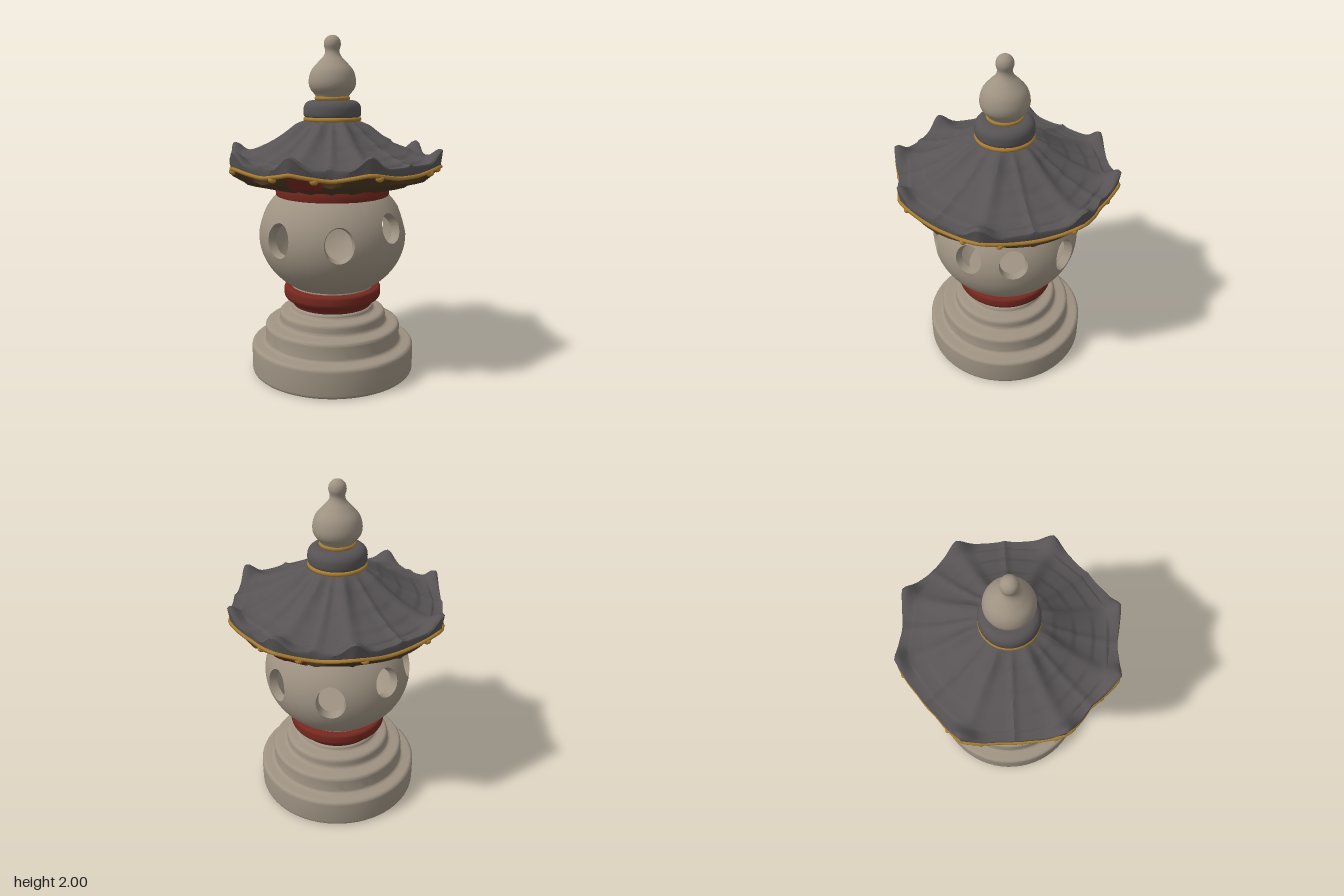
import * as THREE from 'three';
import { mergeGeometries, toCreasedNormals } from 'three/addons/utils/BufferGeometryUtils.js';

const mat = (name, color) => Object.assign(new THREE.MeshStandardMaterial({ color }), { name });
const stone = mat('stone', 0x9e9282);
const tile = mat('roofTile', 0x575354);
const red = mat('redPaint', 0x75281f);
const gold = mat('goldTrim', 0xa87c30);
const wood = mat('darkWood', 0x4c3822);

const TAU = Math.PI * 2;
const deg = THREE.MathUtils.degToRad;
const bell = (x, w) => Math.exp(-((x / w) ** 2));

// Surface from a grid of points, closed around u
function ringGrid(nu, nv, point) {
  const pos = [], index = [];
  for (let i = 0; i < nu; i++) {
    for (let j = 0; j <= nv; j++) pos.push(...point(i / nu, j));
    for (let j = 0; j < nv; j++) {
      const a = i * (nv + 1) + j, c = ((i + 1) % nu) * (nv + 1) + j;
      index.push(a, a + 1, c, c, a + 1, c + 1);
    }
  }
  const g = new THREE.BufferGeometry();
  g.setAttribute('position', new THREE.Float32BufferAttribute(pos, 3));
  g.setIndex(index);
  g.computeVertexNormals();
  return g;
}

// Turned profile with every corner softened by up to the given radius
function turned(corners, soft) {
  const p = corners.map(([r, y]) => new THREE.Vector2(r, y));
  const out = [p[0]];
  for (let i = 1; i < p.length - 1; i++) {
    const toward = (q) => {
      const d = p[i].distanceTo(q);
      return p[i].clone().lerp(q, Math.min(soft, d * 0.48) / d);
    };
    out.push(...new THREE.QuadraticBezierCurve(toward(p[i - 1]), p[i], toward(p[i + 1])).getPoints(5));
  }
  out.push(p[p.length - 1]);
  return toCreasedNormals(new THREE.LatheGeometry(out, 64), 0.6);
}

// Roof corners and how strongly each eave point belongs to one
const cornerAngles = [0, 38, 90, 142, 180, 218, 270, 322].map(deg);
const midAngles = [19, 64, 116, 161, 199, 244, 296, 341].map(deg);
const nearest = (a, list) => Math.min(...list.map((c) => {
  const d = Math.abs(a - c) % TAU;
  return Math.min(d, TAU - d);
}));
const flare = (a) => Math.max(0, 1 - nearest(a, cornerAngles) / 0.33) ** 1.2;
const tipSize = (a) => 0.042 + 0.013 * Math.cos(2 * a) ** 2;
const edgeRadius = (a) => 0.6 + tipSize(a) * flare(a);
const edgeBottom = (a) => 1.238 + 0.035 * flare(a);
const polar = (a, r, y) => [r * Math.sin(a), y, r * Math.cos(a)];

const roofLine = new THREE.SplineCurve([[0.15, 1.515], [0.25, 1.44], [0.36, 1.37], [0.47, 1.32], [0.55, 1.295], [0.6, 1.285]]
  .map(([x, y]) => new THREE.Vector2(x, y)));

const ROWS = 40;
function roofPoint(u, j) {
  const a = u * TAU;
  if (j > ROWS) return polar(a, edgeRadius(a) - 0.012, edgeBottom(a));
  const t = j / ROWS, p = roofLine.getPoint(t);
  const d = nearest(a, cornerAngles), m = nearest(a, midAngles);
  const r = p.x + (edgeRadius(a) - 0.6) * t ** 4;
  const ridge = bell(d * p.x, 0.032 + 0.02 * t) * (0.042 - 0.03 * t) * Math.min(1, t * 6);
  const tip = 0.07 * bell(d * p.x, 0.065) * bell(t - 0.96, 0.14);
  const rib = 0.014 * bell(m * p.x, 0.018) * Math.min(1, t * 6);
  const course = 0.01 * ((t * 5) % 1) * Math.min(1, t * 5) * (1 - bell(d * p.x, 0.05));
  return polar(a, r, p.y + ridge + tip + rib + course);
}

// Boarded underside with radial ribs
const soffitRadius = [null, 0.59, 0.55, 0.5, 0.45, 0.4, 0.32];
const soffitHeight = [null, 1.208, 1.187, 1.172, 1.16, 1.148, 1.13];
function soffitPoint(u, j) {
  const a = u * TAU;
  if (j === 0) return polar(a, edgeRadius(a) - 0.012, edgeBottom(a));
  const r = soffitRadius[j], d = Math.min(nearest(a, cornerAngles), nearest(a, midAngles));
  return polar(a, r, soffitHeight[j] - 0.009 * bell(d * r, 0.014) + (j < 2 ? 0.012 * flare(a) : 0));
}

// One wall sector of the hollow globe with a round window through it
const globe = (az, phi, inset) => polar(az, (0.437 - inset) * Math.cos(phi), 0.84 + (0.37 - inset) * Math.sin(phi));
function windowSector(k, centre, front) {
  const lo = [k * Math.PI / 4, -0.98], hi = [(k + 1) * Math.PI / 4, 0.75];
  const c = [deg(centre), front ? 0.06 : 0.235];
  const rad = front ? [0.195, 0.275] : [0.195, 0.235];
  const N = 10;
  return ringGrid(64, 2 * N + 3, (u, j) => {
    // clockwise around the sector border
    const side = Math.floor(u * 4), f = u * 4 - side;
    const [x, y] = [[0, f], [f, 1], [1, 1 - f], [1 - f, 0]][side];
    const b = [THREE.MathUtils.lerp(lo[0], hi[0], x), THREE.MathUtils.lerp(lo[1], hi[1], y)];
    const ang = Math.atan2((b[1] - c[1]) / rad[1], (b[0] - c[0]) / rad[0]);
    const h = [c[0] + rad[0] * Math.cos(ang), c[1] + rad[1] * Math.sin(ang)];
    const s = j <= N ? j / N : j >= N + 3 ? (2 * N + 3 - j) / N : 1;
    const inset = j <= N ? 0 : j >= N + 3 ? 0.05 : (j - N) * 0.05 / 3;
    return globe(b[0] + (h[0] - b[0]) * s, b[1] + (h[1] - b[1]) * s, inset);
  });
}

export function createModel() {
  const model = new THREE.Group();
  const add = (name, geometry, material, parent = model) => {
    const mesh = new THREE.Mesh(geometry, material);
    mesh.name = name;
    parent.add(mesh);
    return mesh;
  };

  // Stepped base and lower collar
  add('steppedBase', turned([[0, 0], [0.492, 0], [0.492, 0.18], [0.408, 0.185], [0.41, 0.297],
    [0.322, 0.302], [0.322, 0.372], [0.247, 0.378], [0.245, 0.41], [0, 0.41]], 0.025), stone);
  add('lowerCollar', turned([[0, 0.402], [0.235, 0.402], [0.245, 0.43], [0.292, 0.462], [0.292, 0.528], [0, 0.528]], 0.02), red);

  // Hollow globe, its floor and ceiling
  const sectors = [25, 72, 108, 155, 205, 252, 288, 335].map((c, k) => windowSector(k, c, [0, 3, 4, 7].includes(k)));
  add('lanternGlobe', toCreasedNormals(mergeGeometries(sectors), 0.7), stone);
  add('globeFloor', new THREE.CylinderGeometry(0.235, 0.25, 0.055, 64).translate(0, 0.5525, 0), stone);
  add('globeCeiling', new THREE.CylinderGeometry(0.3, 0.3, 0.05, 64).translate(0, 1.075, 0), stone);
  add('upperCollar', turned([[0, 1.078], [0.336, 1.078], [0.336, 1.142], [0, 1.142]], 0.01), red);

  // Roof
  const roof = new THREE.Group();
  roof.name = 'roof';
  model.add(roof);
  add('roofTiles', toCreasedNormals(ringGrid(180, ROWS + 1, roofPoint), 0.8), tile, roof);
  add('roofUnderside', toCreasedNormals(ringGrid(180, 6, soffitPoint), 0.8), wood, roof);
  const eave = Array.from({ length: 90 }, (_, i) => {
    const a = (i / 90) * TAU;
    return new THREE.Vector3(...polar(a, edgeRadius(a) - 0.008, edgeBottom(a)));
  });
  add('eaveTrim', new THREE.TubeGeometry(new THREE.CatmullRomCurve3(eave, true), 180, 0.011, 6, true), gold, roof);

  // Gold knobs under the eave
  for (const base of [11, 43, 81]) {
    for (const d of [base, 180 - base, 180 + base, 360 - base]) {
      const a = deg(d);
      const knob = add('eaveKnob', new THREE.SphereGeometry(0.02, 12, 8), gold, roof);
      knob.position.set(...polar(a, edgeRadius(a) - 0.015, edgeBottom(a) - 0.012));
      knob.scale.set(1.2, 0.9, 1);
    }
  }

  // Red painted panels under the front and back eaves
  for (const start of [-3, 177]) {
    const pos = [], index = [];
    for (let i = 0; i <= 9; i++) {
      const a = deg(start + i * 2);
      for (const j of [0, 1, 2]) {
        const [x, y, z] = soffitPoint(((a + TAU) % TAU) / TAU, j);
        pos.push(x * 1.006, y - 0.004, z * 1.006);
      }
      if (i < 9) for (const j of [0, 1]) {
        const n = i * 3 + j;
        index.push(n, n + 1, n + 3, n + 3, n + 1, n + 4);
      }
    }
    const g = new THREE.BufferGeometry();
    g.setAttribute('position', new THREE.Float32BufferAttribute(pos, 3));
    g.setIndex(index);
    g.computeVertexNormals();
    add('redEavePanel', g, red, roof);
  }

  // Crown and finial
  const ring = (r, tube, y) => new THREE.TorusGeometry(r, tube, 8, 64).rotateX(Math.PI / 2).translate(0, y, 0);
  add('lowerGoldRing', ring(0.157, 0.013, 1.523), gold);
  add('crown', turned([[0, 1.5], [0.155, 1.5], [0.155, 1.535], [0.168, 1.54], [0.168, 1.6], [0.14, 1.63], [0, 1.632]], 0.025), tile);
  add('upperGoldRing', ring(0.092, 0.012, 1.642), gold);
  const gourd = new THREE.SplineCurve([[0.088, 1.63], [0.1, 1.66], [0.13, 1.7], [0.137, 1.745], [0.122, 1.8], [0.085, 1.845],
    [0.052, 1.88], [0.041, 1.91], [0.049, 1.945], [0.043, 1.975], [0.022, 1.995], [0, 2]].map(([r, y]) => new THREE.Vector2(r, y)));
  const gourdPoints = gourd.getPoints(48).map((p) => new THREE.Vector2(Math.max(0, p.x), Math.min(2, p.y)));
  add('finial', new THREE.LatheGeometry(gourdPoints, 48), stone);

  return model;
}
